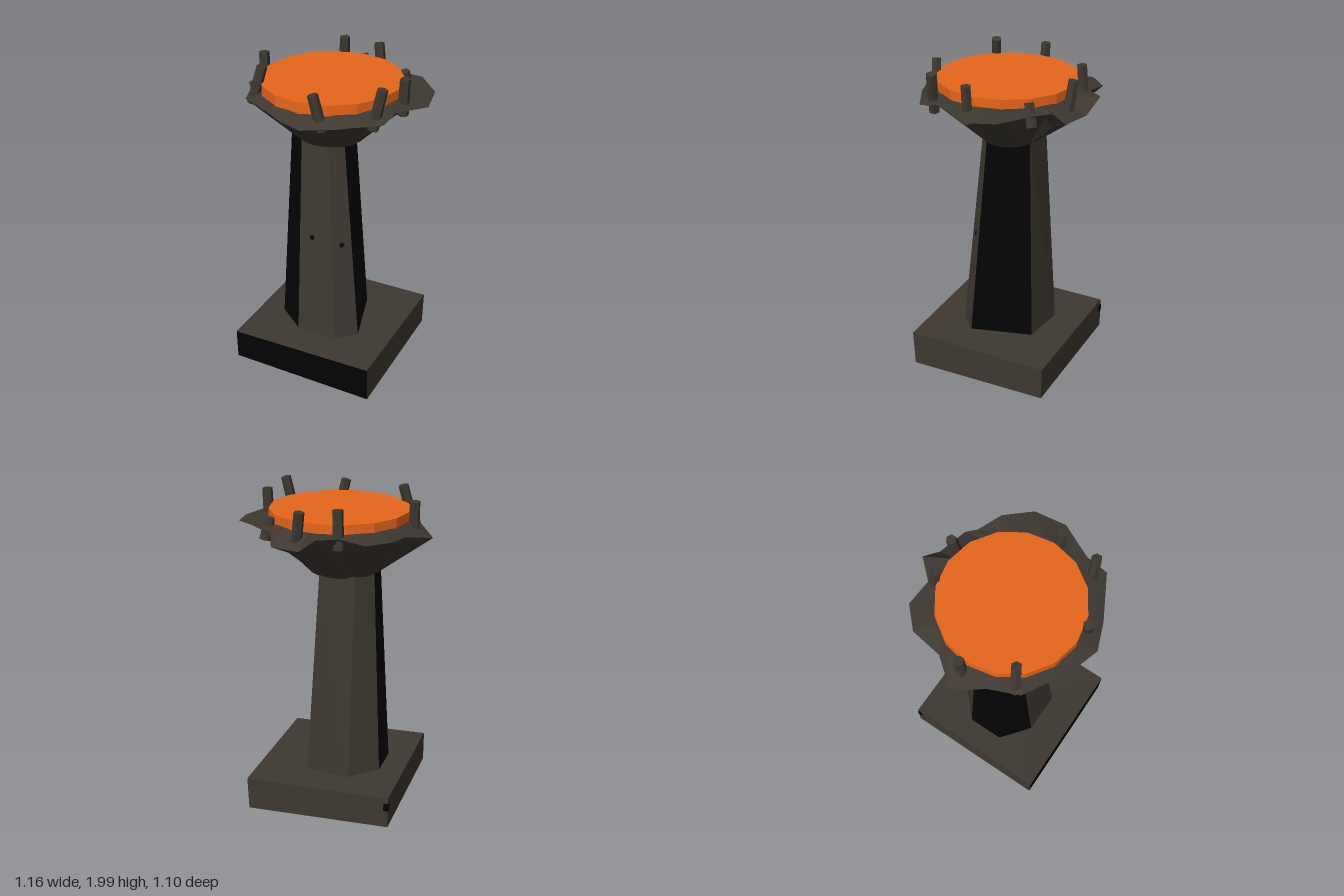
import * as THREE from 'three';

const dark = new THREE.MeshStandardMaterial({ color: 0x3e3831 });
dark.name = 'dark stone';
const black = new THREE.MeshStandardMaterial({ color: 0x030303 });
black.name = 'soot black';
const orange = new THREE.MeshStandardMaterial({ color: 0xe8671b });
orange.name = 'ember orange';

// Flat-shaded skin over stacked rings (bottom to top), capped at both ends.
// Sides whose index is in blackSides take the black material.
function loft(name, rings, blackSides = []) {
  const pos = [];
  const geo = new THREE.BufferGeometry();
  const n = rings[0].length;
  const tri = (...pts) => pts.forEach((p) => pos.push(...p));
  for (let i = 0; i < n; i++) {
    const j = (i + 1) % n;
    const start = pos.length / 3;
    for (let k = 0; k + 1 < rings.length; k++) {
      const a = rings[k], b = rings[k + 1];
      tri(a[i], b[i], b[j]);
      tri(a[i], b[j], a[j]);
    }
    geo.addGroup(start, pos.length / 3 - start, blackSides.includes(i) ? 1 : 0);
  }
  const start = pos.length / 3;
  const centre = (r) => [0, 1, 2].map((c) => r.reduce((s, p) => s + p[c], 0) / n);
  const low = rings[0], high = rings[rings.length - 1];
  const lowMid = centre(low), highMid = centre(high);
  for (let i = 0; i < n; i++) {
    const j = (i + 1) % n;
    tri(lowMid, low[i], low[j]);
    tri(highMid, high[j], high[i]);
  }
  geo.addGroup(start, pos.length / 3 - start, 0);
  geo.setAttribute('position', new THREE.Float32BufferAttribute(pos, 3));
  geo.computeVertexNormals();
  const mesh = new THREE.Mesh(geo, [dark, black]);
  mesh.name = name;
  return mesh;
}

// Six-sided peg between two points
function peg(from, to) {
  const a = new THREE.Vector3(...from), b = new THREE.Vector3(...to);
  const dir = b.clone().sub(a);
  const geo = new THREE.CylinderGeometry(0.031, 0.033, dir.length(), 6).toNonIndexed();
  geo.computeVertexNormals();
  const mesh = new THREE.Mesh(geo, dark);
  mesh.position.copy(a).add(b).multiplyScalar(0.5);
  mesh.quaternion.setFromUnitVectors(new THREE.Vector3(0, 1, 0), dir.normalize());
  mesh.name = 'peg';
  return mesh;
}

// Small black pit lying on a face with the given normal
function pit(at, normal) {
  const mesh = new THREE.Mesh(new THREE.CircleGeometry(0.018, 5), black);
  mesh.position.set(...at);
  mesh.quaternion.setFromUnitVectors(new THREE.Vector3(0, 0, 1), new THREE.Vector3(...normal).normalize());
  mesh.name = 'pit';
  return mesh;
}

export function createModel() {
  const model = new THREE.Group();
  model.name = 'brazier';

  // Crooked square base with a black front and a chipped back corner
  model.add(loft('base', [
    [[0.445, 0.01, 0.46], [-0.46, 0.06, 0.48], [-0.46, 0.055, -0.44], [0.44, 0.03, -0.44]],
    [[0.445, 0.235, 0.47], [-0.46, 0.25, 0.485], [-0.46, 0.25, -0.44], [0.445, 0.24, -0.445]],
  ], [0]));
  const chip = new THREE.Mesh(new THREE.BoxGeometry(0.03, 0.05, 0.03), black);
  chip.position.set(-0.448, 0.19, -0.428);
  chip.name = 'baseChip';
  model.add(chip);

  // Leaning, tapered column
  const at = (y, pts) => pts.map(([x, z]) => [x, y, z]);
  model.add(loft('column', [
    at(0.22, [[0.24, 0.16], [0.13, 0.27], [-0.13, 0.27], [-0.31, 0.13], [-0.31, -0.1], [-0.15, -0.25], [0.13, -0.22]]),
    at(1.53, [[0.11, 0.1], [0.04, 0.165], [-0.14, 0.165], [-0.25, 0.08], [-0.25, -0.06], [-0.16, -0.16], [0.06, -0.16]]),
  ], [2, 3, 6]));
  model.add(pit([-0.05, 0.91, 0.22], [0, 0.08, 1]), pit([0.131, 0.88, 0.176], [0.69, 0.1, 0.72]));

  // Flared bowl with a ragged rim
  const rim = [
    [-0.58, 1.755, 0.01], [-0.455, 1.79, -0.15], [-0.43, 1.81, -0.34], [-0.31, 1.81, -0.455],
    [-0.15, 1.83, -0.44], [-0.05, 1.845, -0.55], [0.06, 1.76, -0.515], [0.24, 1.76, -0.47],
    [0.27, 1.82, -0.4], [0.41, 1.84, -0.335], [0.545, 1.82, -0.2], [0.58, 1.805, -0.01],
    [0.47, 1.83, 0.2], [0.46, 1.81, 0.34], [0.21, 1.79, 0.48], [0.05, 1.78, 0.545],
    [-0.09, 1.79, 0.505], [-0.2, 1.81, 0.46], [-0.4, 1.81, 0.35], [-0.47, 1.79, 0.17],
  ];
  const ring = (cx, cz, rx, rz, y) => rim.map(([x, , z]) => {
    const t = Math.atan2(z, x);
    return [cx + rx * Math.cos(t), y, cz + rz * Math.sin(t)];
  });
  const foot = ring(-0.04, 0, 0.205, 0.17, 1.51);
  const belly = rim.map((p, i) => {
    const q = p.map((v, c) => foot[i][c] + (v - foot[i][c]) * 0.7);
    q[1] += 0.07 * Math.max(0, p[0] / 0.58);
    return q;
  });
  model.add(loft('bowl', [foot, belly, rim, ring(-0.01, 0.01, 0.42, 0.41, 1.84)]));

  // Glowing disc lying in the bowl
  const discGeo = new THREE.CylinderGeometry(0.422, 0.422, 0.075, 16).toNonIndexed();
  discGeo.computeVertexNormals();
  const disc = new THREE.Mesh(discGeo, orange);
  disc.position.set(-0.01, 1.857, 0.02);
  disc.name = 'emberDisc';
  model.add(disc);

  // Pegs pushed through the rim
  const pegs = new THREE.Group();
  pegs.name = 'pegs';
  [
    [[-0.465, 1.75, 0.01], [-0.47, 1.965, 0]],
    [[-0.385, 1.77, 0.3], [-0.33, 1.99, 0.27]],
    [[0.13, 1.75, 0.43], [0.085, 1.96, 0.45]],
    [[0.375, 1.75, 0.295], [0.425, 1.99, 0.28]],
    [[0.445, 1.75, 0.035], [0.455, 1.97, 0.04]],
    [[0.34, 1.75, -0.31], [0.315, 1.88, -0.28]],
    [[0.11, 1.75, -0.42], [0.08, 1.965, -0.44]],
    [[-0.14, 1.76, -0.41], [-0.13, 1.985, -0.395]],
  ].forEach(([from, to]) => pegs.add(peg(from, to)));
  model.add(pegs);

  return model;
}
